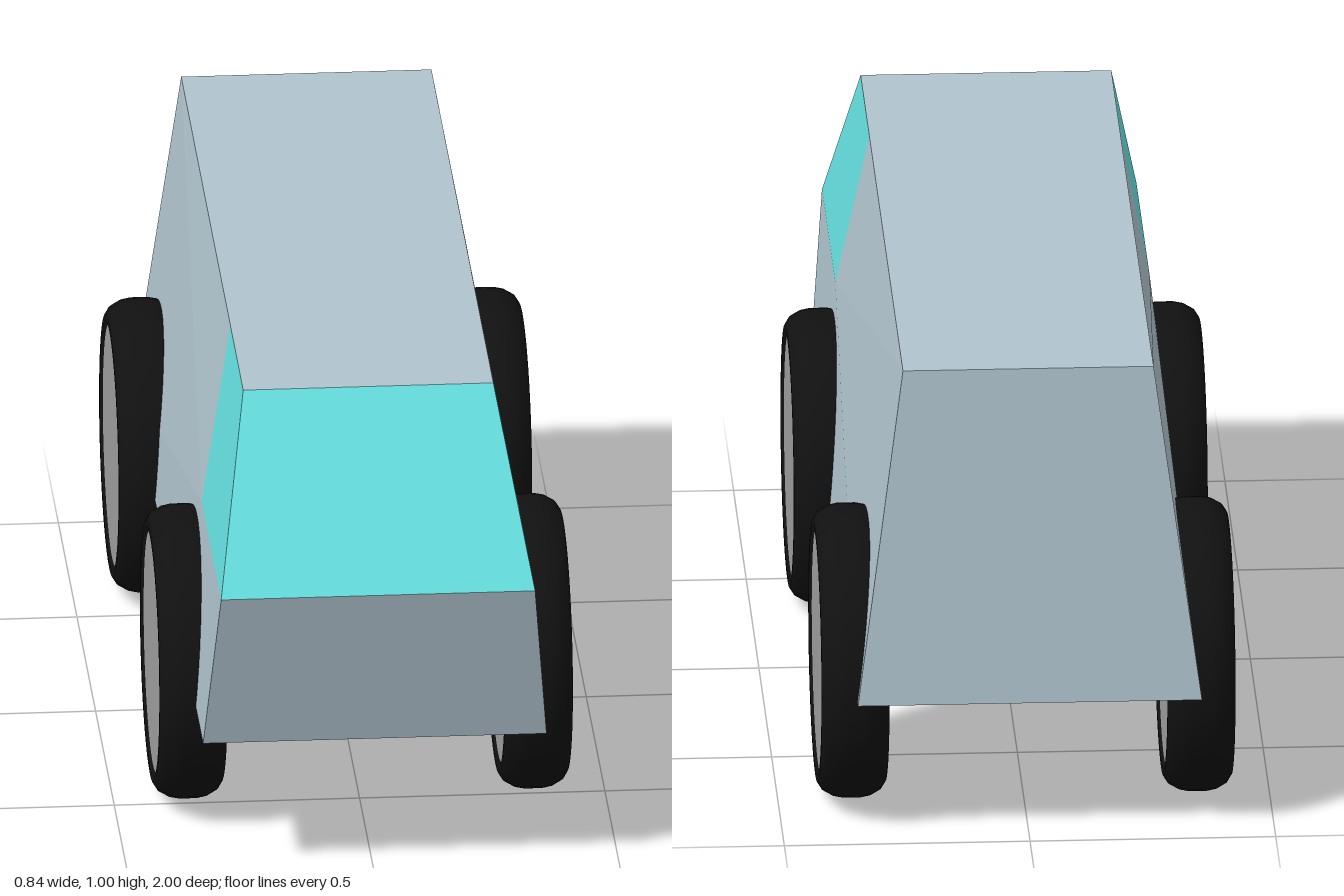
import * as THREE from 'three';

const paint = new THREE.MeshStandardMaterial({ color: 0xb0c4ce });
const glass = new THREE.MeshStandardMaterial({ color: 0x66e0e0 });
const rubber = new THREE.MeshStandardMaterial({ color: 0x111111 });
const hub = new THREE.MeshStandardMaterial({ color: 0xa0a0a0 });

// Flat panel: a fan of triangles around its first corner
function panel(name, material, corners) {
  const points = [];
  for (let i = 1; i < corners.length - 1; i++) points.push(...corners[0], ...corners[i], ...corners[i + 1]);
  const geometry = new THREE.BufferGeometry();
  geometry.setAttribute('position', new THREE.Float32BufferAttribute(points, 3));
  geometry.computeVertexNormals();
  const mesh = new THREE.Mesh(geometry, material);
  mesh.name = name;
  return mesh;
}

const flip = ([x, y, z]) => [-x, y, z];
const mirrored = (corners) => corners.map(flip).reverse();

function createBody() {
  const body = new THREE.Group();
  body.name = 'body';

  // Left-hand corners of the shell
  const nose = [0.32, 0.655, 1];
  const frontSill = [0.35, 0.303, 0.91];
  const rearSill = [0.35, 0.303, -1];
  const rearRoof = [0.255, 1.005, -0.93];
  const frontRoof = [0.255, 1.005, 0.735];
  const windowTop = [0.255, 1.005, 0.39];
  const windowBase = [0.32, 0.655, 0.475];

  // Panel spanning both sides between two corners
  const across = (name, material, a, b) => body.add(panel(name, material, [flip(a), a, b, flip(b)]));
  across('windshield', glass, nose, frontRoof);
  across('frontPanel', paint, frontSill, nose);
  across('roof', paint, frontRoof, rearRoof);
  across('rearPanel', paint, rearRoof, rearSill);
  across('floor', paint, rearSill, frontSill);

  // Sides and cab windows
  const side = [windowBase, nose, frontSill, rearSill, rearRoof, windowTop];
  const pane = [nose, windowBase, windowTop, frontRoof];
  const rightSide = mirrored(side);
  rightSide.unshift(rightSide.pop()); // keep the fan centred on the window base
  body.add(
    panel('leftSide', paint, side),
    panel('rightSide', paint, rightSide),
    panel('leftWindow', glass, pane),
    panel('rightWindow', glass, mirrored(pane)),
  );
  return body;
}

function createWheel(name, x, z) {
  const wheel = new THREE.Group();
  wheel.name = name;

  // Tyre with rounded shoulders, open in the middle
  const profile = [
    [0.245, -0.062], [0.255, -0.069], [0.268, -0.069], [0.284, -0.059], [0.296, -0.038], [0.3, -0.018],
    [0.3, 0.018], [0.296, 0.038], [0.284, 0.059], [0.268, 0.069], [0.255, 0.069], [0.245, 0.062],
  ].map(([r, y]) => new THREE.Vector2(r, y));
  const tyre = new THREE.Mesh(new THREE.LatheGeometry(profile, 48), rubber);
  tyre.name = 'tyre';

  // Plain disc filling the tyre
  const disc = new THREE.Mesh(new THREE.CylinderGeometry(0.246, 0.246, 0.126, 48), hub);
  disc.name = 'hubDisc';

  wheel.add(tyre, disc);
  wheel.rotation.z = Math.PI / 2;
  wheel.position.set(x, 0.302, z);
  return wheel;
}

export function createModel() {
  const van = new THREE.Group();
  van.name = 'van';
  van.add(createBody());
  for (const [sideName, x] of [['Left', 0.352], ['Right', -0.352]]) {
    van.add(createWheel(`front${sideName}Wheel`, x, 0.415));
    van.add(createWheel(`rear${sideName}Wheel`, x, -0.68));
  }
  return van;
}
